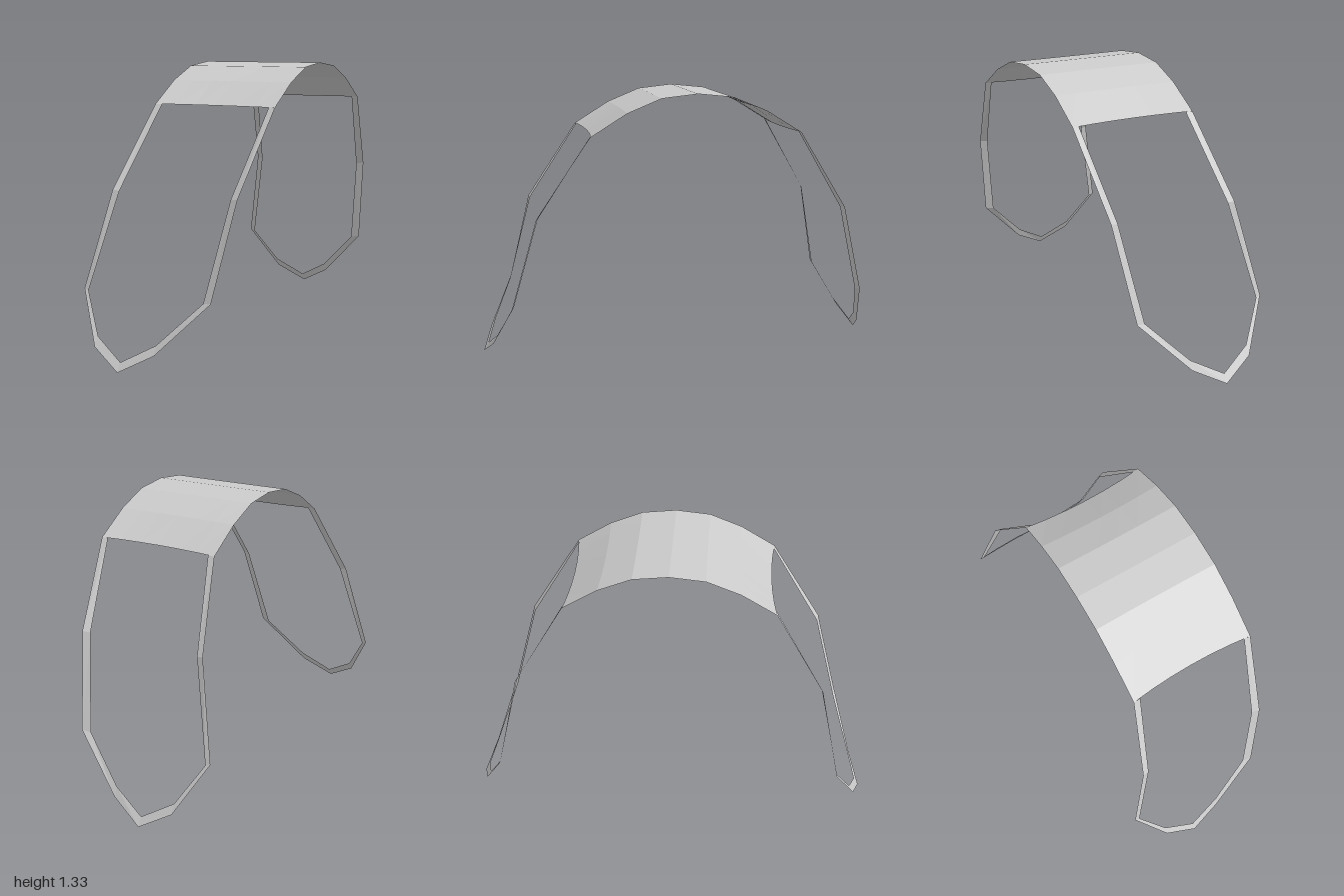
import * as THREE from 'three';

const material = new THREE.MeshStandardMaterial({
  color: 0xcccccc, flatShading: true, side: THREE.DoubleSide,
});

// Surface through equal-length rows of [x, y, z] points
function loft(name, rows) {
  const n = rows[0].length, index = [];
  for (let r = 0; r < rows.length - 1; r++) {
    for (let i = 0; i < n - 1; i++) {
      const a = r * n + i, b = a + n;
      index.push(a, b, a + 1, a + 1, b, b + 1);
    }
  }
  const geometry = new THREE.BufferGeometry();
  geometry.setAttribute('position', new THREE.Float32BufferAttribute(rows.flat(2), 3));
  geometry.setIndex(index);
  geometry.computeVertexNormals();
  const mesh = new THREE.Mesh(geometry, material);
  mesh.name = name;
  return mesh;
}

export function createModel() {
  const group = new THREE.Group();
  group.name = 'archedBand';

  // Arched panel over the top, its ends bowed slightly inward
  const arch = [[-0.5, 1.15], [-0.33, 1.255], [-0.17, 1.32], [0, 1.338],
    [0.17, 1.32], [0.33, 1.255], [0.5, 1.15]];
  const steps = 6;
  const panel = arch.map(([z, y]) => Array.from({ length: steps + 1 }, (_, i) => {
    const t = i / steps;
    const bow = 4 * t * (1 - t) * 0.08 * z * Math.abs(z);
    return [-0.22 + 0.62 * t, y, z - bow];
  }));
  group.add(loft('archPanel', panel));

  // Narrow strip looping down from the panel's end, outer and inner edges
  const outer = [[0.4, 1.15, 0.5], [0.344, 0.77, 0.75], [0.278, 0.33, 0.87],
    [0.04, 0.09, 0.955], [-0.12, 0.005, 1], [-0.27, 0.09, 0.955],
    [-0.402, 0.32, 0.84], [-0.305, 0.77, 0.74], [-0.22, 1.15, 0.5]];
  const inner = [[0.368, 1.15, 0.497], [0.306, 0.765, 0.74], [0.235, 0.325, 0.86],
    [0.04, 0.132, 0.935], [-0.12, 0.045, 0.975], [-0.268, 0.132, 0.93],
    [-0.378, 0.312, 0.843], [-0.273, 0.765, 0.735], [-0.185, 1.15, 0.497]];
  for (const side of [1, -1]) {
    const mirror = (edge) => edge.map(([x, y, z]) => [x, y, z * side]);
    group.add(loft(side > 0 ? 'frontLoop' : 'backLoop', [mirror(outer), mirror(inner)]));
  }
  return group;
}
